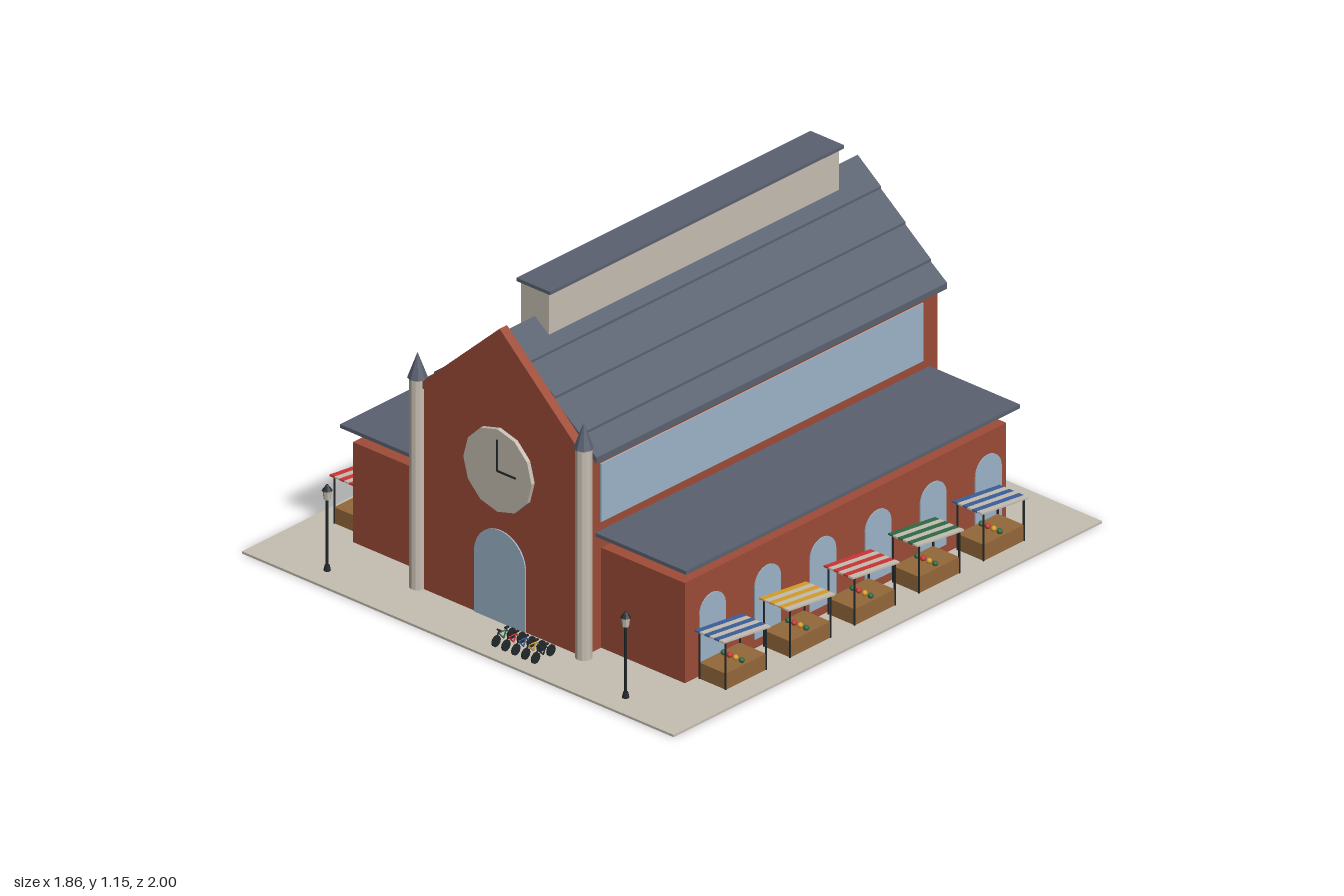
import * as THREE from 'three';

const mat = (name, color) => {
  const m = new THREE.MeshStandardMaterial({ color });
  m.name = name;
  return m;
};

export function createModel() {
  const M = {
    brick: mat('brick', 0x9e4c37),
    slate: mat('slate', 0x5a6170),
    stone: mat('stone', 0xc6beb2),
    glass: mat('glass', 0x9db5c9),
    red: mat('red', 0xcc3535),
    yellow: mat('yellow', 0xd69e2a),
    blue: mat('blue', 0x3a5f9c),
    green: mat('green', 0x2f6b45),
    iron: mat('iron', 0x22282b),
    wood: mat('wood', 0x94683a),
  };
  const model = new THREE.Group();
  model.name = 'marketHall';
  const G = 0.008; // paving level

  const add = (parent, name, geo, material, x = 0, y = 0, z = 0) => {
    const mesh = new THREE.Mesh(geo, material);
    mesh.name = name;
    mesh.position.set(x, y, z);
    parent.add(mesh);
    return mesh;
  };
  const group = (name, x = 0, y = 0, z = 0) => {
    const g = new THREE.Group();
    g.name = name;
    g.position.set(x, y, z);
    model.add(g);
    return g;
  };
  // Box given by its extents
  const block = (parent, name, m, x0, x1, y0, y1, z0, z1) =>
    add(parent, name, new THREE.BoxGeometry(x1 - x0, y1 - y0, z1 - z0), m,
      (x0 + x1) / 2, (y0 + y1) / 2, (z0 + z1) / 2);
  // Cross-section in x and y, drawn out along z
  const prism = (parent, name, m, pts, z0, z1) => {
    const shape = new THREE.Shape(pts.map(([x, y]) => new THREE.Vector2(x, y)));
    const geo = new THREE.ExtrudeGeometry(shape, { depth: z1 - z0, bevelEnabled: false });
    return add(parent, name, geo, m, 0, 0, z0);
  };
  // Faceted cylinder
  const drum = (rTop, rBottom, h, sides) => {
    const geo = new THREE.CylinderGeometry(rTop, rBottom, h, sides).toNonIndexed();
    geo.computeVertexNormals();
    return geo;
  };
  // Thin round-headed plate facing +z
  const archPlate = (w, h) => {
    const r = w / 2;
    const s = new THREE.Shape();
    s.moveTo(-r, 0);
    s.lineTo(r, 0);
    s.lineTo(r, h - r);
    s.absarc(0, h - r, r, 0, Math.PI, false);
    s.lineTo(-r, 0);
    return new THREE.ExtrudeGeometry(s, { depth: 0.006, bevelEnabled: false, curveSegments: 14 });
  };
  // Straight round bar between two points
  const bar = (parent, name, m, a, b, r) => {
    const p = new THREE.Vector3(...a), q = new THREE.Vector3(...b);
    const mesh = add(parent, name, new THREE.CylinderGeometry(r, r, p.distanceTo(q), 6), m);
    mesh.position.copy(p).add(q).multiplyScalar(0.5);
    mesh.quaternion.setFromUnitVectors(new THREE.Vector3(0, 1, 0), q.sub(p).normalize());
  };

  block(model, 'paving', M.stone, -0.93, 0.93, 0, G, -1, 1);

  // Central hall and front gable
  prism(model, 'hall', M.brick,
    [[-0.355, G], [0.355, G], [0.355, 0.712], [0, 1.018], [-0.355, 0.712]], -0.855, 0.77);
  block(model, 'facade', M.brick, -0.36, 0.36, G, 0.725, 0.765, 0.8);
  prism(model, 'frontGable', M.brick, [[-0.36, 0.725], [0.36, 0.725], [0, 1.055]], 0.77, 0.805);

  // Lapped roof courses, thicker at their lower edge
  const roof = group('mainRoof');
  const breaks = [0.385, 0.315, 0.205, 0.1, 0];
  const roofY = (x) => 1.025 - 0.857 * x;
  for (const s of [-1, 1]) {
    for (let i = 0; i < 4; i++) {
      const a = breaks[i], b = breaks[i + 1];
      prism(roof, 'roofCourse', M.slate, [[s * a, roofY(a)], [s * a, roofY(a) + 0.022],
        [s * b, roofY(b) + 0.013], [s * b, roofY(b)]], -0.867, 0.77);
    }
  }

  // Ridge lantern
  block(model, 'ridgeLantern', M.stone, -0.06, 0.06, 0.96, 1.14, -0.715, 0.64);
  block(model, 'ridgeLanternRoof', M.slate, -0.072, 0.072, 1.14, 1.152, -0.725, 0.648);

  // Side aisles with windows
  for (const s of [-1, 1]) {
    const aisle = group(s > 0 ? 'leftAisle' : 'rightAisle');
    const span = (a, b) => (s > 0 ? [a, b] : [-b, -a]);
    block(aisle, 'aisleWall', M.brick, ...span(0.35, 0.715), G, 0.365, -0.785, 0.715);
    block(aisle, 'aisleRoof', M.slate, ...span(0.35, 0.745), 0.415, 0.428, -0.818, 0.742);
    block(aisle, 'clerestory', M.glass, ...span(0.354, 0.36), 0.46, 0.667, -0.785, 0.72);
    for (let i = 0; i < 6; i++) {
      const w = add(aisle, 'archWindow', archPlate(0.122, 0.245), M.glass,
        s * 0.713, 0.04, 0.588 - i * 0.2575);
      w.rotation.y = s * Math.PI / 2;
    }
    // Corner turret
    const turret = group('turret', s * 0.358, 0, 0.8);
    add(turret, 'turretShaft', drum(0.028, 0.028, 0.747, 12), M.stone, 0, 0.3815, 0);
    add(turret, 'turretSpire', drum(0, 0.033, 0.09, 8), M.slate, 0, 0.8, 0);
  }

  // Door and clock
  add(model, 'door', archPlate(0.22, 0.327), M.glass, 0, G, 0.799);
  const clock = group('clock', 0, 0.553, 0.8);
  add(clock, 'clockFace', drum(0.147, 0.147, 0.02, 12), M.stone, 0, 0, 0.005).rotation.x = Math.PI / 2;
  block(clock, 'minuteHand', M.iron, -0.003, 0.003, 0, 0.11, 0.014, 0.019);
  block(clock, 'hourHand', M.iron, 0, 0.08, -0.003, 0.003, 0.014, 0.019);

  // Market stalls with striped sloping awnings
  const awningColours = [M.red, M.yellow, M.blue, M.green];
  const produce = [M.green, M.red, M.yellow, M.green];
  for (const s of [-1, 1]) {
    for (let i = 0; i < 5; i++) {
      const stall = group('stall', s > 0 ? 0.784 : -0.789, G, -0.638 + i * 0.301);
      const colour = awningColours[(i + (s > 0 ? 2 : 0)) % 4];
      block(stall, 'counter', M.wood, -0.057, 0.057, 0, 0.057, -0.094, 0.094);
      const awning = new THREE.Group();
      awning.name = 'awning';
      awning.position.y = 0.162;
      awning.rotation.x = -0.115;
      stall.add(awning);
      for (let k = 0; k < 6; k++) {
        const x = -0.063 + k * 0.021;
        block(awning, 'awningStripe', k % 2 ? M.stone : colour, x, x + 0.021, -0.003, 0.003, -0.11, 0.11);
      }
      for (const x of [-0.056, 0.056]) {
        for (const z of [-0.094, 0.094]) {
          bar(stall, 'post', M.iron, [x, 0, z], [x, 0.16 + z * 0.115, z], 0.0035);
        }
      }
      produce.forEach((m, k) => add(stall, 'produce', new THREE.SphereGeometry(0.01, 8, 6), m,
        -0.039 + k * 0.026, 0.064, 0));
    }
  }

  // Street lamps
  for (const s of [-1, 1]) {
    const lamp = group('streetLamp', s * 0.643, 0, 0.913);
    add(lamp, 'lampBase', drum(0.008, 0.012, 0.02, 8), M.iron, 0, G + 0.01, 0);
    bar(lamp, 'lampPole', M.iron, [0, G, 0], [0, 0.265, 0], 0.005);
    add(lamp, 'lampGlass', drum(0.015, 0.011, 0.032, 8), M.stone, 0, 0.278, 0);
    add(lamp, 'lampCap', drum(0.003, 0.018, 0.02, 8), M.iron, 0, 0.304, 0);
  }

  // Row of parked bicycles
  [M.green, M.red, M.blue, M.yellow, M.iron].forEach((m, i) => {
    const bike = group('bicycle', 0.106 + i * 0.0425, G, 0.9);
    for (const z of [-0.036, 0.036]) {
      add(bike, 'wheel', drum(0.02, 0.02, 0.005, 10), M.iron, 0, 0.02, z).rotation.z = Math.PI / 2;
    }
    const r = 0.0025;
    bar(bike, 'frame', m, [0, 0.02, -0.036], [0, 0.043, -0.012], r);
    bar(bike, 'frame', m, [0, 0.043, -0.012], [0, 0.045, 0.024], r);
    bar(bike, 'frame', m, [0, 0.018, 0], [0, 0.045, 0.024], r);
    bar(bike, 'frame', m, [0, 0.018, 0], [0, 0.05, -0.014], r);
    bar(bike, 'fork', M.iron, [0, 0.02, 0.036], [0, 0.055, 0.022], r);
    block(bike, 'saddle', M.iron, -0.004, 0.004, 0.048, 0.053, -0.022, -0.006);
    block(bike, 'handlebar', M.iron, -0.009, 0.009, 0.052, 0.056, 0.02, 0.024);
  });

  return model;
}
